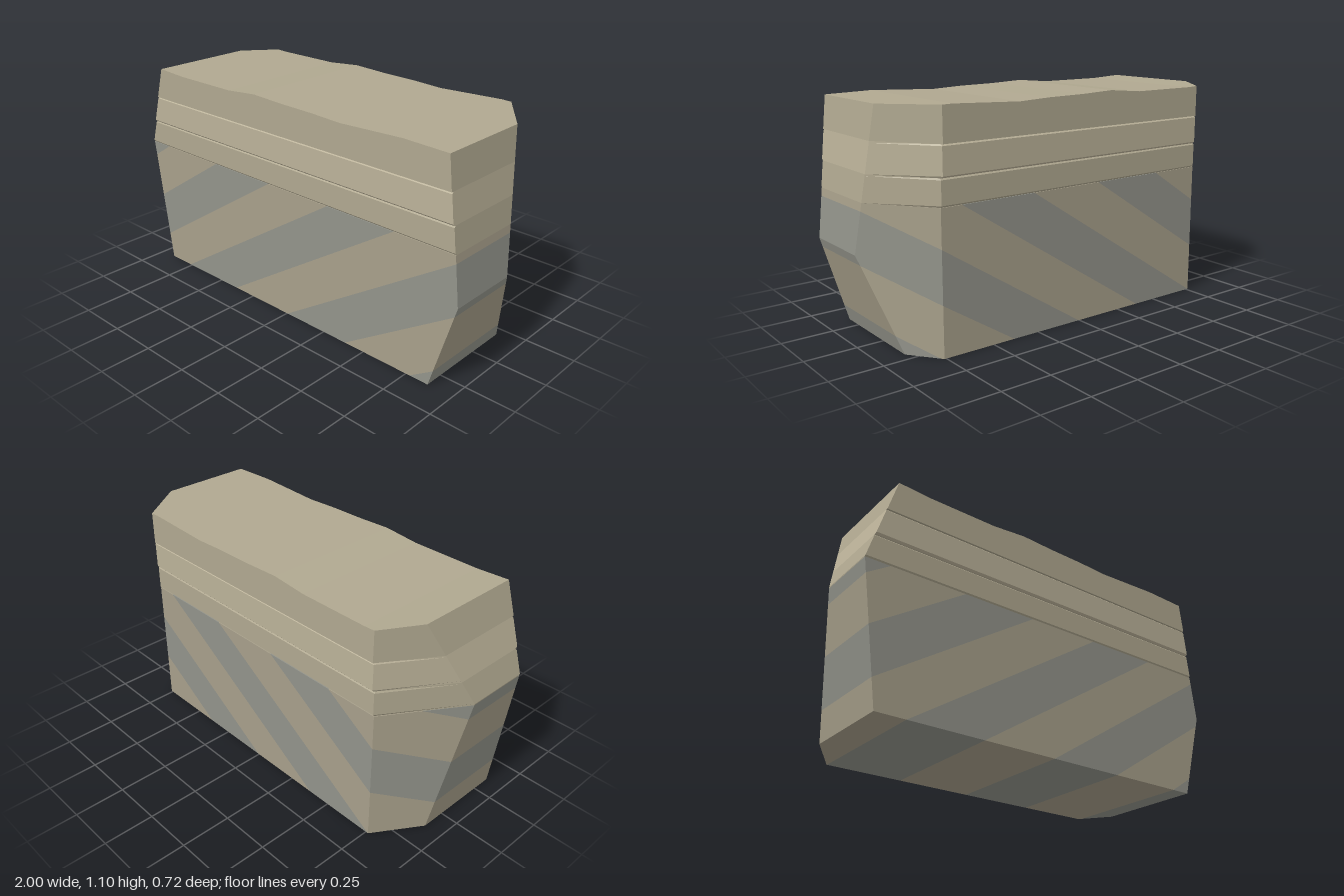
import * as THREE from 'three';
import { mergeGeometries } from 'three/addons/utils/BufferGeometryUtils.js';

const TAN = 0xa79f8a, GREY = 0x92938a, SAND = 0xb0a890, PALE = 0xbbb299;

// Front silhouette of the whole block, counter-clockwise, with a gently worn top
const OUTLINE = [
  [-0.91, 0], [0.87, 0], [1, 0.43], [0.93, 1.088],
  [0.7, 1.094], [0.36, 1.08], [0.2, 1.087], [0, 1.09], [-0.17, 1.097],
  [-0.35, 1.081], [-0.7, 1.081], [-0.87, 1.09], [-1, 0.67],
];

// Vertical cuts across the two back corners: z of each cut plane at x
const BACK = -0.358, LEFT_X = 0.75, RIGHT_X = -0.755, LEFT_SLOPE = 1.34, RIGHT_SLOPE = 1.55;
const cornerZ = (x) => Math.max(
  BACK + LEFT_SLOPE * (x - LEFT_X),
  BACK + RIGHT_SLOPE * (RIGHT_X - x),
);

// Keep the part of a polygon where a*x + b*y <= c
function clip(poly, a, b, c) {
  const out = [];
  poly.forEach((p, i) => {
    const q = poly[(i + 1) % poly.length];
    const dp = a * p[0] + b * p[1] - c, dq = a * q[0] + b * q[1] - c;
    if (dp <= 0) out.push(p);
    if ((dp < 0 && dq > 0) || (dp > 0 && dq < 0)) {
      const t = dp / (dp - dq);
      out.push([p[0] + t * (q[0] - p[0]), p[1] + t * (q[1] - p[1])]);
    }
  });
  return out;
}

// Solid with the given front polygon; half depth may vary with y between yCuts
function slab(name, poly, color, halfDepth, depthAt = () => halfDepth, yCuts = []) {
  const gap = -BACK - halfDepth;
  const xCuts = [RIGHT_X - gap / RIGHT_SLOPE, LEFT_X + gap / LEFT_SLOPE];
  const xs = [-9, ...xCuts, 9], ys = [-9, ...yCuts, 9];
  const near = (u, v) => Math.abs(u - v) < 1e-5;
  const verts = [];
  for (let i = 0; i < xs.length - 1; i++) {
    for (let j = 0; j < ys.length - 1; j++) {
      let cell = clip(clip(poly, -1, 0, -xs[i]), 1, 0, xs[i + 1]);
      cell = clip(clip(cell, 0, -1, -ys[j]), 0, 1, ys[j + 1]);
      if (cell.length < 3) continue;
      const shape = new THREE.Shape(cell.map(([x, y]) => new THREE.Vector2(x, y)));
      const pos = new THREE.ExtrudeGeometry(shape, { depth: 1, bevelEnabled: false }).attributes.position;
      for (let k = 0; k < pos.count; k += 3) {
        const tri = [k, k + 1, k + 2].map((n) => [pos.getX(n), pos.getY(n), pos.getZ(n)]);
        // Leave out the walls between neighbouring cells
        if (xCuts.some((c) => tri.every((v) => near(v[0], c)))) continue;
        if (yCuts.some((c) => tri.every((v) => near(v[1], c)))) continue;
        for (const [x, y, z] of tri) {
          const d = depthAt(y);
          verts.push(x, y, z > 0.5 ? d : Math.max(-d, cornerZ(x)));
        }
      }
    }
  }
  if (!verts.length) return null;
  const geometry = new THREE.BufferGeometry();
  geometry.setAttribute('position', new THREE.Float32BufferAttribute(verts, 3));
  geometry.computeVertexNormals();
  const mesh = new THREE.Mesh(
    mergeGeometries([geometry]),
    new THREE.MeshStandardMaterial({ color, flatShading: true }),
  );
  mesh.name = name;
  return mesh;
}

export function createModel() {
  const group = new THREE.Group();
  group.name = 'layeredRock';

  // Tilted strata in the lower part, alternating tan and grey
  const lower = clip(OUTLINE, 0, 1, 0.665);
  const tilted = new THREE.Group();
  tilted.name = 'tiltedStrata';
  const spacing = 0.383, run = 1 / 0.643;
  for (let k = 0; k < 9; k++) {
    const right = 0.77 + spacing - k * spacing;
    const band = clip(clip(lower, 1, -run, right), -1, run, -(right - spacing));
    const mesh = slab(`tiltedBand${k + 1}`, band, k % 2 ? TAN : GREY, 0.345);
    if (mesh) tilted.add(mesh);
  }
  group.add(tilted);

  // Flat layers above, each a little deeper than the one below, with eased edges
  const layers = [
    ['lowerLayer', 0.665, 0.79, 0.348, SAND, 0.008],
    ['middleLayer', 0.79, 0.932, 0.355, PALE, 0.008],
    ['topLayer', 0.932, 2, 0.358, SAND, 0],
  ];
  for (const [name, y0, y1, depth, color, bevel] of layers) {
    const poly = clip(clip(OUTLINE, 0, -1, -y0), 0, 1, y1);
    const depthAt = (y) => depth - Math.max(0, bevel - Math.min(y - y0, y1 - y));
    group.add(slab(name, poly, color, depth, depthAt, bevel ? [y0 + bevel, y1 - bevel] : []));
  }
  return group;
}
